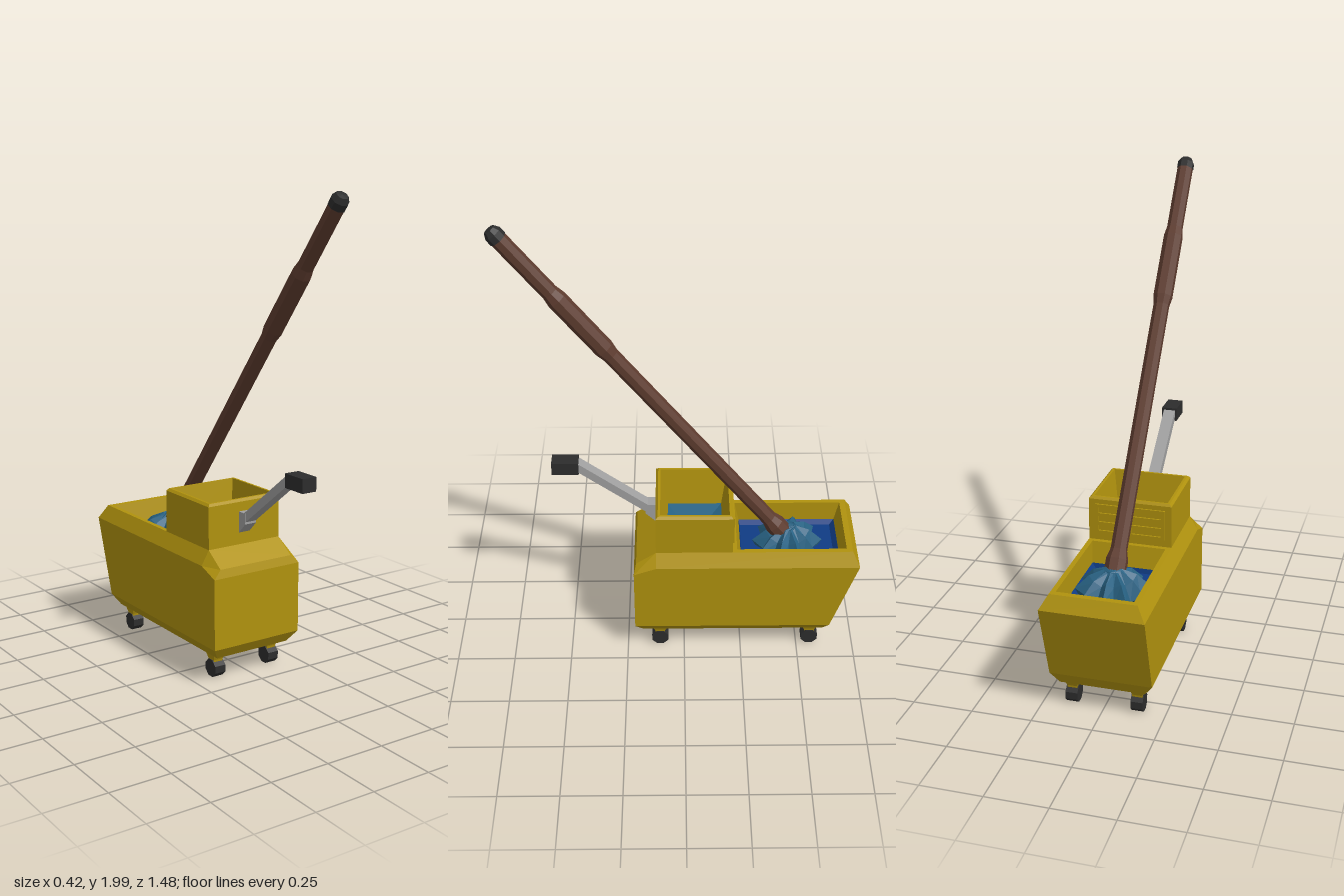
import * as THREE from 'three';

const mat = (name, color) => Object.assign(new THREE.MeshStandardMaterial({ color, flatShading: true }), { name });

// Rectangular ring, counter-clockwise seen from above
const rect = (x, y, zf, zb) => [[-x, y, zf], [x, y, zf], [x, y, zb], [-x, y, zb]];

// Joins rings of equal length with quads; optional fan caps at either end
function loft(rings, capStart = false, capEnd = false) {
  const pos = [];
  const tri = (a, b, c) => pos.push(...a, ...b, ...c);
  for (let r = 0; r < rings.length - 1; r++) {
    const a = rings[r], b = rings[r + 1], n = a.length;
    for (let i = 0; i < n; i++) {
      const j = (i + 1) % n;
      tri(a[i], a[j], b[j]);
      tri(a[i], b[j], b[i]);
    }
  }
  const first = rings[0], last = rings[rings.length - 1];
  for (let i = 1; i < first.length - 1; i++) {
    if (capStart) tri(first[0], first[i + 1], first[i]);
    if (capEnd) tri(last[0], last[i], last[i + 1]);
  }
  const g = new THREE.BufferGeometry();
  g.setAttribute('position', new THREE.Float32BufferAttribute(pos, 3));
  g.computeVertexNormals();
  return g;
}

export function createModel() {
  const yellow = mat('yellow plastic', 0xb0920e);
  const water = mat('blue water', 0x103c84);
  const cloth = mat('mop cloth', 0x286283);
  const wood = mat('brown wood', 0x5e3c2f);
  const rubber = mat('dark rubber', 0x2d2d2d);
  const steel = mat('grey steel', 0xa0a0a0);

  const model = new THREE.Group();
  const add = (name, geo, material, parent = model) => {
    const m = new THREE.Mesh(geo, material);
    m.name = name;
    parent.add(m);
    return m;
  };
  const box = (name, w, h, d, x, y, z, material, parent) => {
    const m = add(name, new THREE.BoxGeometry(w, h, d), material, parent);
    m.position.set(x, y, z);
    return m;
  };

  // Bucket shell: six-cornered rings with a break at the front shoulder
  const shell = (x, [yf, zf], [ym, zm], [yb, zb]) => [
    [-x, yf, zf], [x, yf, zf], [x, ym, zm], [x, yb, zb], [-x, yb, zb], [-x, ym, zm]];
  add('bucketShell', loft([
    shell(0.175, [0.105, 0.18], [0.105, 0.12], [0.105, -0.61]),
    shell(0.21, [0.155, 0.215], [0.155, 0.12], [0.155, -0.635]),
    shell(0.21, [0.455, 0.215], [0.49, 0.12], [0.49, -0.745]),
    shell(0.175, [0.49, 0.205], [0.55, 0.12], [0.55, -0.715]),
  ], true), yellow);
  add('bucketShoulder', loft([
    [[-0.175, 0.49, 0.205], [0.175, 0.49, 0.205]],
    [[-0.175, 0.55, 0.12], [0.175, 0.55, 0.12]],
  ]), yellow).material.side = THREE.DoubleSide;

  // Rim and inside of the basin
  add('basin', loft([
    rect(0.175, 0.55, 0.12, -0.715),
    rect(0.155, 0.55, -0.225, -0.69),
    rect(0.15, 0.46, -0.245, -0.67),
  ]), yellow);
  add('water', loft([
    rect(0.15, 0.46, -0.245, -0.67),
    rect(0.135, 0.44, -0.25, -0.65),
  ], false, true), water);

  // Wringer: open box with bevelled rim and tapering inside
  add('wringer', loft([
    rect(0.175, 0.55, 0.12, -0.205),
    rect(0.175, 0.73, 0.12, -0.205),
    rect(0.165, 0.74, 0.11, -0.198),
    rect(0.155, 0.74, 0.1, -0.19),
    rect(0.13, 0.57, 0.07, -0.165),
  ]), yellow);
  add('wringerFloor', loft([
    rect(0.13, 0.57, 0.07, -0.165),
    rect(0.075, 0.555, 0.035, -0.125),
    rect(0.005, 0.54, -0.045, -0.055),
  ], false, true), cloth);

  // Raised grille on the back of the wringer
  const grille = new THREE.Group();
  grille.name = 'wringerGrille';
  model.add(grille);
  for (const x of [-0.14, 0, 0.14]) box('grillePost', 0.016, 0.13, 0.008, x, 0.645, -0.208, yellow, grille);
  for (let i = 0; i < 4; i++) box('grilleSlat', 0.28, 0.014, 0.008, 0, 0.587 + i * 0.0387, -0.208, yellow, grille);

  // Lever with bracket and grip
  const bracket = new THREE.Shape([
    new THREE.Vector2(0.12, 0.6), new THREE.Vector2(0.12, 0.69),
    new THREE.Vector2(0.165, 0.69), new THREE.Vector2(0.165, 0.645)]);
  const bracketGeo = new THREE.ExtrudeGeometry(bracket, { depth: 0.054, bevelEnabled: false });
  bracketGeo.translate(0, 0, -0.027).rotateY(-Math.PI / 2);
  add('leverBracket', bracketGeo, steel);
  const arm = box('leverArm', 0.05, 0.035, 0.385, 0, 0.777, 0.297, steel);
  arm.rotation.x = -Math.atan2(0.225, 0.295);
  box('leverGrip', 0.066, 0.058, 0.112, 0, 0.888, 0.495, rubber);

  // Casters
  for (const x of [-0.135, 0.135]) for (const z of [0.107, -0.557]) {
    const caster = new THREE.Group();
    caster.name = 'caster';
    caster.position.set(x, 0, z);
    model.add(caster);
    add('casterFork', loft([
      rect(0.021, 0.045, 0.018, -0.018),
      rect(0.021, 0.075, 0.022, -0.022),
      rect(0.03, 0.106, 0.035, -0.035),
    ], true), yellow, caster);
    const wheel = add('casterWheel', new THREE.CylinderGeometry(0.039, 0.039, 0.05, 8)
      .rotateY(Math.PI / 8).rotateZ(Math.PI / 2), rubber, caster);
    wheel.position.y = 0.036;
  }

  // Mop: leaning pole with a thicker hand grip and rounded cap
  const mop = new THREE.Group();
  mop.name = 'mop';
  model.add(mop);
  const pole = new THREE.Group();
  pole.name = 'mopPole';
  pole.position.set(0, 0.5, -0.44);
  pole.rotation.x = Math.atan2(1.155, 1.475);
  mop.add(pole);
  const lathe = pts => new THREE.LatheGeometry(pts.map(p => new THREE.Vector2(...p)), 8, Math.PI / 8);
  add('poleShaft', lathe([
    [0.045, 0], [0.045, 0.08], [0.034, 0.12], [0.034, 1.18], [0.041, 1.22],
    [0.041, 1.5], [0.034, 1.54], [0.034, 1.835]]), wood, pole);
  add('poleCap', lathe([[0.036, 1.825], [0.036, 1.855], [0.024, 1.876], [0, 1.878]]), rubber, pole);

  // Mop head: pleated skirt spreading over the water
  const pleats = 10;
  const pleatRing = (out, yOut, inn, yIn) => Array.from({ length: pleats * 2 }, (_, i) => {
    const a = Math.PI + i * Math.PI / pleats, r = i % 2 ? inn : out;
    return [r * Math.sin(a), i % 2 ? yIn : yOut, -0.45 + r * Math.cos(a)];
  });
  add('mopHead', loft([
    pleatRing(0.135, 0.435, 0.1, 0.435),
    pleatRing(0.152, 0.47, 0.112, 0.45),
    pleatRing(0.095, 0.525, 0.08, 0.505),
    pleatRing(0.035, 0.55, 0.035, 0.545),
  ], false, true), cloth, mop);

  return model;
}
